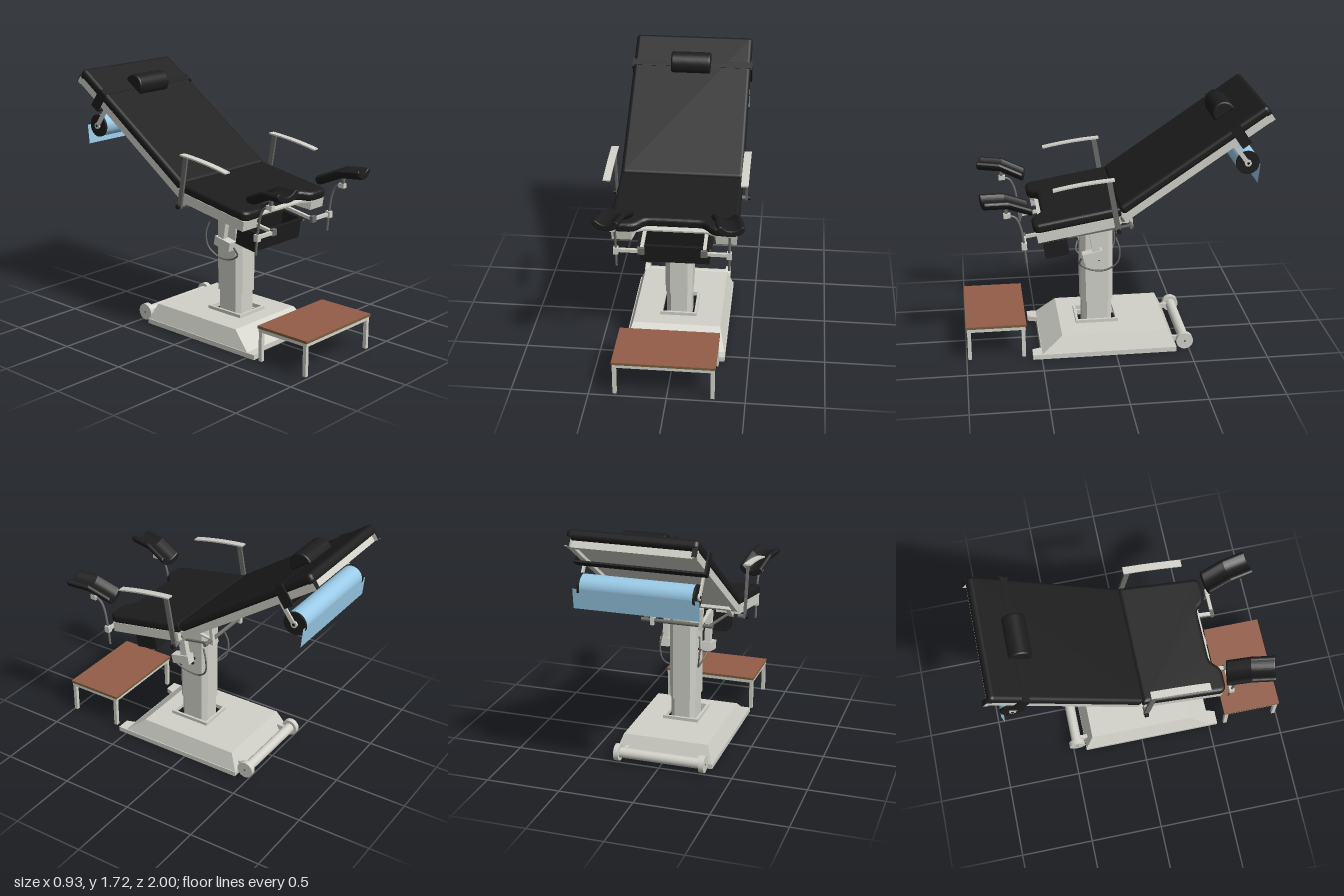
import * as THREE from 'three';
import { RoundedBoxGeometry } from 'three/addons/geometries/RoundedBoxGeometry.js';

const paint = (name, color) => Object.assign(new THREE.MeshStandardMaterial({ color }), { name });

export function createModel() {
  const grey = paint('light grey enamel', 0xd2d2ca);
  const shellGrey = paint('light grey shell', 0xd2d2ca);
  shellGrey.side = THREE.DoubleSide;
  const steel = paint('dark steel', 0x6c6c69);
  const black = paint('black upholstery', 0x1d1d1d);
  const brown = paint('brown mat', 0x945d48);
  const wood = paint('wood edge', 0x7a5f3a);
  const blue = paint('blue paper', 0x9acbe8);
  const sheetBlue = paint('blue paper sheet', 0x9acbe8);
  sheetBlue.side = THREE.DoubleSide;

  const model = new THREE.Group();
  const V = (x, y, z) => new THREE.Vector3(x, y, z);

  const add = (name, geo, mat, x = 0, y = 0, z = 0, parent = model) => {
    const m = new THREE.Mesh(geo, mat);
    m.name = name;
    m.position.set(x, y, z);
    parent.add(m);
    return m;
  };
  const box = (name, mat, w, h, d, x, y, z, parent) => add(name, new THREE.BoxGeometry(w, h, d), mat, x, y, z, parent);
  // Rectangular bar between two points
  const bar = (name, mat, a, b, w, h) => {
    const m = box(name, mat, w, h, a.distanceTo(b), 0, 0, 0);
    m.position.copy(a).lerp(b, 0.5);
    m.lookAt(b);
    return m;
  };
  const tube = (name, mat, pts, r) =>
    add(name, new THREE.TubeGeometry(new THREE.CatmullRomCurve3(pts), 28, r, 8), mat);
  // Cylinder along x
  const axle = (name, mat, r, len, x, y, z, parent) =>
    add(name, new THREE.CylinderGeometry(r, r, len, 28).rotateZ(Math.PI / 2), mat, x, y, z, parent);
  // Plan outline of [x, z] points, raised along y
  const outline = (pts) => new THREE.Shape(pts.map(([x, z]) => new THREE.Vector2(x, -z)));
  const raise = (shape, h) => new THREE.ExtrudeGeometry(shape, { depth: h, bevelEnabled: false }).rotateX(-Math.PI / 2);
  const rect = (x, z0, z1) => [[-x, z0], [-x, z1], [x, z1], [x, z0]];
  const frame = (outer, inner, h) => {
    const s = outline(outer);
    s.holes.push(outline(inner));
    return raise(s, h);
  };
  const octagon = (x, z0, z1, c) => outline([[-x + c, z0], [x - c, z0], [x, z0 + c], [x, z1 - c],
    [x - c, z1], [-x + c, z1], [-x, z1 - c], [-x, z0 + c]]);
  // Four sloping walls, open above and below
  const slopedWalls = (x0, x1, y0, y1, zb, zt) => {
    const g = new THREE.BoxGeometry(1, 1, 1).toNonIndexed();
    const p = g.attributes.position;
    for (let i = 0; i < p.count; i++) {
      const up = p.getY(i) > 0, z = up ? zt : zb;
      p.setXYZ(i, Math.sign(p.getX(i)) * (up ? x1 : x0), up ? y1 : y0, p.getZ(i) > 0 ? z[1] : z[0]);
    }
    g.computeVertexNormals();
    g.clearGroups();
    g.addGroup(0, 12, 0);
    g.addGroup(24, 12, 0);
    return g;
  };

  // Hollow base with notched front lip and rollers
  add('baseRim', frame([[-0.34, -0.41], [-0.34, 0.56], [-0.25, 0.56], [-0.23, 0.5], [0.23, 0.5], [0.25, 0.56],
    [0.34, 0.56], [0.34, -0.41]], rect(0.305, -0.375, 0.47), 0.033), grey);
  add('baseWalls', slopedWalls(0.335, 0.295, 0.03, 0.145, [-0.41, 0.5], [-0.355, 0.36]), [shellGrey]);
  add('baseTop', frame(rect(0.295, -0.355, 0.36), rect(0.108, -0.023, 0.233), 0.006), grey, 0, 0.139);
  axle('rearRoller', grey, 0.035, 0.56, 0, 0.06, -0.47);
  for (const s of [-1, 1]) {
    axle('rearWheel', grey, 0.057, 0.035, s * 0.295, 0.06, -0.47);
    axle('wheelHub', steel, 0.007, 0.04, s * 0.295, 0.06, -0.47);
    box('rollerBracket', grey, 0.025, 0.035, 0.09, s * 0.255, 0.06, -0.43);
  }

  // Telescopic column
  add('columnCollar', frame(rect(0.125, -0.04, 0.25), rect(0.108, -0.023, 0.233), 0.022), grey, 0, 0.145);
  add('lowerColumn', raise(octagon(0.085, 0, 0.2, 0.03), 0.785), grey, 0, 0.08);
  add('upperColumn', raise(octagon(0.092, -0.01, 0.21, 0.032), 0.6), grey, 0, 0.29);
  box('columnHead', grey, 0.18, 0.04, 0.2, 0, 0.895, 0.1);

  // Tilted seat
  const seat = new THREE.Group();
  seat.name = 'seat';
  seat.position.set(0, 0.955, -0.01);
  seat.rotation.x = 0.17;
  model.add(seat);
  const w = 0.385;
  const cushion = new THREE.Shape();
  cushion.moveTo(-w, 0);
  cushion.lineTo(-w, -0.5);
  cushion.quadraticCurveTo(-w, -0.52, -w + 0.03, -0.52);
  cushion.lineTo(-0.29, -0.52);
  cushion.bezierCurveTo(-0.22, -0.52, -0.24, -0.45, -0.15, -0.45);
  cushion.lineTo(0.15, -0.45);
  cushion.bezierCurveTo(0.24, -0.45, 0.22, -0.52, 0.29, -0.52);
  cushion.lineTo(w - 0.03, -0.52);
  cushion.quadraticCurveTo(w, -0.52, w, -0.5);
  cushion.lineTo(w, 0);
  add('seatCushion', new THREE.ExtrudeGeometry(cushion, {
    depth: 0.022, bevelThickness: 0.022, bevelSize: 0.025, bevelSegments: 5, curveSegments: 10,
  }).rotateX(-Math.PI / 2), black, 0, 0.086, 0, seat);
  add('seatPan', raise(outline([[-0.4, 0], [-0.4, 0.53], [-0.27, 0.53], [-0.2, 0.5], [0.2, 0.5],
    [0.27, 0.53], [0.4, 0.53], [0.4, 0]]), 0.012), grey, 0, 0.054, 0, seat);
  for (const s of [-1, 1]) {
    add('seatSideFrame', frame(
      [[s * 0.4, 0], [s * 0.4, 0.53], [s * 0.27, 0.53], [s * 0.24, 0.4], [s * 0.24, 0]],
      [[s * 0.385, 0.015], [s * 0.385, 0.515], [s * 0.28, 0.515], [s * 0.255, 0.4], [s * 0.255, 0.015]],
      0.055), grey, 0, 0, 0, seat);
    box('seatPanInset', grey, 0.1, 0.03, 0.38, s * 0.325, 0.04, 0.25, seat);
  }
  box('seatCrossBeam', grey, 0.6, 0.022, 0.04, 0, 0.043, 0.04, seat);

  // Reclined backrest, extending along local -z
  const back = new THREE.Group();
  back.name = 'backrest';
  back.position.set(0, 0.985, -0.05);
  back.rotation.x = 0.6;
  model.add(back);
  add('backFrame', frame(rect(0.4, -1.118, 0), rect(0.365, -1.085, -0.035), 0.05), grey, 0, 0, 0, back);
  add('backPanel', raise(outline(rect(0.366, -1.086, -0.034)), 0.02), grey, 0, 0.02, 0, back);
  add('backCushion', new RoundedBoxGeometry(0.82, 0.066, 1.14, 5, 0.027), black, 0, 0.077, -0.585, back);
  for (const s of [-1, 1]) {
    box('strapSide', black, 0.012, 0.145, 0.07, s * 0.413, 0.037, -0.91, back);
    box('frameTip', grey, 0.03, 0.048, 0.032, s * 0.392, 0.024, -1.132, back);
    box('frameTipCap', black, 0.032, 0.008, 0.036, s * 0.392, 0.052, -1.134, back);
    box('frameTipEnd', black, 0.032, 0.048, 0.004, s * 0.392, 0.026, -1.15, back);
  }
  box('strapBelow', black, 0.83, 0.012, 0.07, 0, -0.03, -0.91, back);
  box('strapAbove', black, 0.83, 0.006, 0.05, 0, 0.109, -0.91, back);

  // Half round head pillow
  const dome = new THREE.Shape();
  dome.absellipse(0, 0, 0.064, 0.065, 0, Math.PI);
  add('headPillow', new THREE.ExtrudeGeometry(dome, {
    depth: 0.25, bevelThickness: 0.012, bevelSize: 0.012, bevelSegments: 4, curveSegments: 18,
  }).rotateY(Math.PI / 2), black, -0.13, 0.125, -0.907, back);

  // Paper roll under the backrest, with its loose end hanging behind
  axle('paperRoll', blue, 0.074, 0.72, 0, 1.34, -0.84);
  const sheet = add('paperSheet', new THREE.PlaneGeometry(0.8, 0.13), sheetBlue, 0, 1.275, -0.908);
  sheet.rotation.x = -0.1;
  for (const s of [-1, 1]) {
    axle('rollEndDisc', black, 0.077, 0.015, s * 0.365, 1.34, -0.84);
    axle('rollHub', grey, 0.022, 0.03, s * 0.37, 1.34, -0.84);
    axle('rollHubPin', black, 0.009, 0.034, s * 0.37, 1.34, -0.84);
    bar('rollArm', grey, V(s * 0.38, 1.345, -0.835), V(s * 0.38, 1.49, -0.73), 0.012, 0.028);
  }

  for (const s of [-1, 1]) {
    // Armrest
    bar('armrestPost', steel, V(s * 0.435, 0.93, 0), V(s * 0.435, 1.28, 0.06), 0.014, 0.034);
    const pad = new THREE.BoxGeometry(0.048, 0.01, 0.39, 1, 1, 10);
    const pp = pad.attributes.position;
    for (let i = 0; i < pp.count; i++) {
      const t = pp.getZ(i) / 0.39 + 0.5;
      pp.setY(i, pp.getY(i) - 0.025 * t - 0.03 * t * t);
    }
    pad.computeVertexNormals();
    add('armrestPad', pad, grey, s * 0.437, 1.287, 0.222);
    axle('armrestPivot', steel, 0.015, 0.05, s * 0.415, 0.94, 0);
    axle('armrestKnob', black, 0.015, 0.018, s * 0.452, 0.94, 0);

    // Leg support: bent trough on a hooked rod
    const trough = new THREE.Shape();
    trough.moveTo(-0.08, 0.048);
    trough.bezierCurveTo(-0.07, -0.015, 0.07, -0.015, 0.08, 0.048);
    trough.quadraticCurveTo(0.074, 0.062, 0.06, 0.056);
    trough.quadraticCurveTo(0, 0.0, -0.06, 0.056);
    trough.quadraticCurveTo(-0.074, 0.062, -0.08, 0.048);
    const rest = new THREE.ExtrudeGeometry(trough, {
      depth: 0.295, steps: 12, bevelThickness: 0.008, bevelSize: 0.006, bevelSegments: 3, curveSegments: 12,
    }).translate(0, 0, -0.1475);
    const rp = rest.attributes.position;
    for (let i = 0; i < rp.count; i++) {
      const z = rp.getZ(i);
      rp.setY(i, rp.getY(i) + 0.06 * z - 0.36 * Math.max(0, -z));
    }
    rest.computeVertexNormals();
    const legRest = add('legRest', rest, black, s * 0.352, 1.108, 0.71);
    legRest.rotation.set(0, s * 0.175, -s * 0.06);
    tube('legRestRod', steel, [V(s * 0.36, 0.72, 0.588), V(s * 0.36, 0.86, 0.603), V(s * 0.36, 0.98, 0.625),
      V(s * 0.36, 1.035, 0.655), V(s * 0.36, 1.05, 0.71)], 0.008);
    bar('legRestStem', steel, V(s * 0.36, 1.03, 0.71), V(s * 0.36, 1.12, 0.71), 0.02, 0.02);
    box('legRestJoint', grey, 0.03, 0.03, 0.045, s * 0.36, 1.05, 0.705);
    box('legRestClamp', grey, 0.032, 0.045, 0.035, s * 0.36, 0.835, 0.6);
    box('legRestArm', grey, 0.16, 0.022, 0.022, s * 0.28, 0.835, 0.595);
    box('railClamp', steel, 0.042, 0.042, 0.025, s * 0.2, 0.835, 0.595);
    bar('legRestRail', grey, V(s * 0.2, 0.832, 0.6), V(s * 0.2, 0.878, 0.33), 0.022, 0.02);
    bar('trayRail', steel, V(s * 0.232, 0.8, 0.49), V(s * 0.232, 0.893, -0.11), 0.015, 0.012);

    // Lift actuator with hose
    bar('actuator', grey, V(s * 0.15, 0.67, 0.11), V(s * 0.15, 0.9, 0.15), 0.04, 0.05);
    const motor = box('actuatorMotor', grey, 0.065, 0.062, 0.135, s * 0.15, 0.655, 0.135);
    motor.rotation.x = 0.2;
    tube('hose', steel, [V(s * 0.15, 0.64, 0.21), V(s * 0.12, 0.58, 0.22), V(s * 0.1, 0.525, 0.13),
      V(s * 0.105, 0.525, 0.04), V(s * 0.13, 0.59, -0.035), V(s * 0.14, 0.69, -0.045), V(s * 0.13, 0.77, -0.02)], 0.006);
    for (const [y, z] of [[0.64, 0.08], [0.62, 0.11], [0.6, 0.09]])
      axle('socket', black, 0.009, 0.012, s * 0.096, y, z);

    // Rear hinge links
    bar('hingeLink', grey, V(s * 0.17, 0.855, -0.12), V(s * 0.17, 1.0, -0.108), 0.025, 0.024);
    bar('hingeArm', grey, V(s * 0.17, 0.888, -0.12), V(s * 0.17, 0.925, 0.1), 0.02, 0.014);
    bar('backPivot', grey, V(s * 0.34, 0.94, 0.02), V(s * 0.34, 1.02, -0.07), 0.03, 0.04);
  }
  axle('hingeBar', steel, 0.013, 0.5, 0, 0.885, -0.11);
  axle('backAxle', steel, 0.014, 0.78, 0, 0.995, -0.035);

  // Hanging tray
  const tray = new THREE.Group();
  tray.name = 'tray';
  tray.position.set(0, 0.75, 0.385);
  tray.rotation.x = 0.16;
  model.add(tray);
  add('trayBody', frame(rect(0.225, -0.08, 0.08), rect(0.215, -0.07, 0.07), 0.125), black, 0, -0.06, 0, tray);
  box('trayFloor', black, 0.44, 0.01, 0.15, 0, -0.055, 0, tray);
  add('trayRim', frame(rect(0.242, -0.09, 0.09), rect(0.215, -0.07, 0.07), 0.014), black, 0, 0.062, 0, tray);

  // Step stool
  const stool = new THREE.Group();
  stool.name = 'stepStool';
  stool.position.set(-0.02, 0, 0.798);
  model.add(stool);
  box('stoolBoard', wood, 0.66, 0.015, 0.402, 0, 0.2405, 0, stool);
  box('stoolMat', brown, 0.658, 0.002, 0.4, 0, 0.249, 0, stool);
  box('stoolUnderside', brown, 0.62, 0.004, 0.36, 0, 0.231, 0, stool);
  add('stoolRails', frame(rect(0.325, -0.195, 0.195), rect(0.3, -0.17, 0.17), 0.024), grey, 0, 0.209, 0, stool);
  for (const x of [-0.3125, 0.3125])
    for (const z of [-0.18, 0.18]) box('stoolLeg', grey, 0.025, 0.2, 0.025, x, 0.11, z, stool);

  return model;
}
